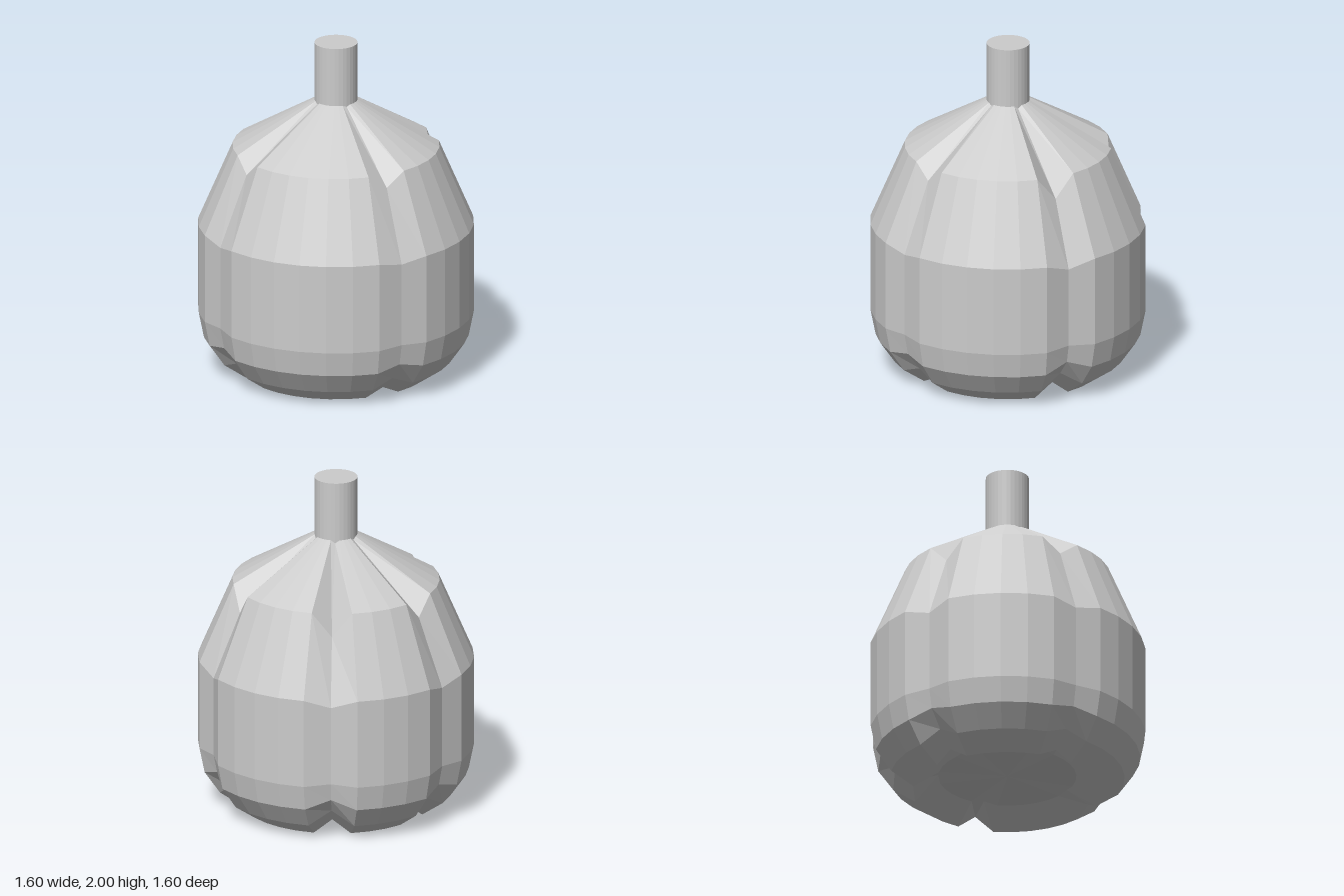
import * as THREE from 'three';

const SEGMENTS = 32;

// Body rings from the base recess up to the stem:
// radius, height, and the shift (radius, height) a groove of strength 1 gives
const RINGS = [
  [0, 0.1, 0, 0],
  [0.4, 0.1, 0, 0.01],
  [0.55, 0, 0, 0.05],
  [0.68, 0.09, -0.02, 0.05],
  [0.77, 0.22, -0.025, 0.03],
  [0.8, 0.37, -0.03, 0.005],
  [0.8, 0.9, -0.03, -0.03],
  [0.6, 1.37, -0.005, -0.083],
  [0.125, 1.65, 0, -0.01],
  [0, 1.65, 0, 0],
];

// Grooved columns, counted from the front towards +x, with their strength
const GROOVES = { 4: 1, 11: 1.65, 17: 1.75, 22: 1.35, 28: 1 };

function bodyGeometry() {
  const profile = RINGS.map(([r, y]) => new THREE.Vector2(r, y));
  const geometry = new THREE.LatheGeometry(profile, SEGMENTS);
  const position = geometry.attributes.position;
  for (const [column, strength] of Object.entries(GROOVES)) {
    const angle = (column / SEGMENTS) * Math.PI * 2;
    RINGS.forEach(([r, y, dr, dy], ring) => {
      const radius = r + dr * Math.min(strength, 1.5);
      position.setXYZ(
        column * RINGS.length + ring,
        Math.sin(angle) * radius,
        y + dy * strength,
        Math.cos(angle) * radius
      );
    });
  }
  geometry.computeVertexNormals();
  return geometry;
}

export function createModel() {
  const group = new THREE.Group();
  group.name = 'pumpkin';
  const material = new THREE.MeshStandardMaterial({ color: 0xcccccc, flatShading: true });

  // Ribbed body with a hollow underside
  const body = new THREE.Mesh(bodyGeometry(), material);
  body.name = 'body';
  group.add(body);

  // Straight stem, sunk slightly into the body
  const stem = new THREE.Mesh(new THREE.CylinderGeometry(0.125, 0.125, 0.37, SEGMENTS), material);
  stem.name = 'stem';
  stem.position.y = 1.815;
  group.add(stem);

  return group;
}
